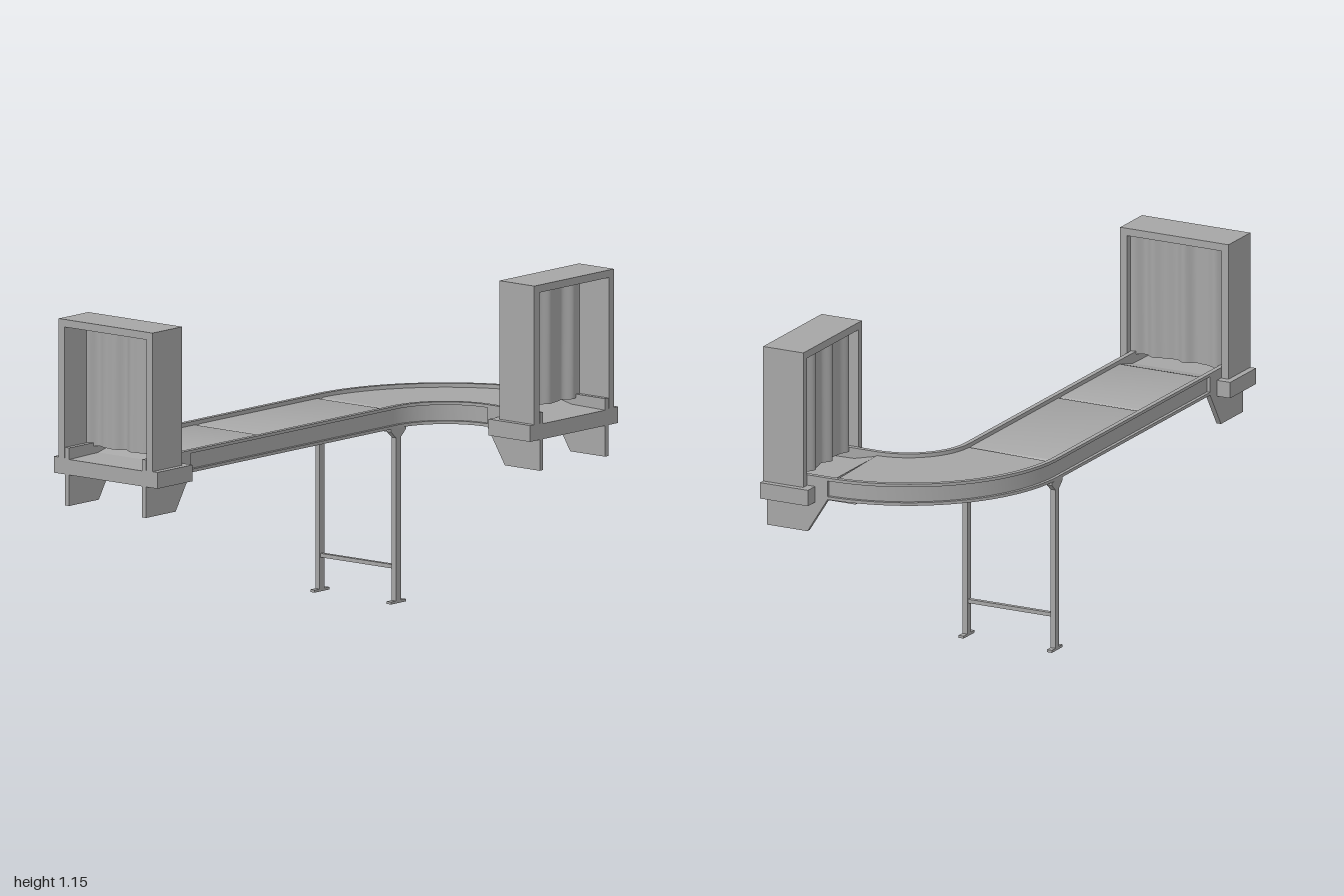
import * as THREE from 'three';
import { toCreasedNormals } from 'three/addons/utils/BufferGeometryUtils.js';

const metal = new THREE.MeshStandardMaterial({ color: 0xa6a6a6 });
metal.name = 'grey metal';
const curtainMat = metal.clone();
curtainMat.name = 'grey curtain';
curtainMat.side = THREE.DoubleSide;

const MID = -0.21;              // centre line of the straight run (z)
const BEND = { x: 0.35, z: 0.2, r: 0.41 };
const HALF = 0.185, RAIL = 0.018; // half width over the rails, rail depth
const BELT = { top: 0.687, r: 0.015 };

function add(parent, name, geometry, x = 0, y = 0, z = 0) {
  const mesh = new THREE.Mesh(geometry, metal);
  mesh.name = name;
  mesh.position.set(x, y, z);
  parent.add(mesh);
  return mesh;
}

// box given by its min and max corners
function box(parent, name, x0, x1, y0, y1, z0, z1) {
  return add(parent, name, new THREE.BoxGeometry(x1 - x0, y1 - y0, z1 - z0),
    (x0 + x1) / 2, (y0 + y1) / 2, (z0 + z1) / 2);
}

// extrusion of a point outline, centred on its thickness
function slab(points, depth) {
  const shape = new THREE.Shape(points.map(([x, y]) => new THREE.Vector2(x, y)));
  const g = new THREE.ExtrudeGeometry(shape, { depth, bevelEnabled: false });
  return g.translate(0, 0, -depth / 2);
}

// quarter-turn sweep of a closed counter-clockwise (radius, y) outline
function sweep(points, inset = 0) {
  const pts = [...points, points[0]].map(([r, y]) => new THREE.Vector2(r, y));
  const g = new THREE.LatheGeometry(pts, 40, Math.PI / 2 + inset, Math.PI / 2 - 2 * inset);
  return toCreasedNormals(g, 0.5);
}

// channel rail outline; the open side faces away from the belt (side = 1 or -1)
function channel(centre, side) {
  const inner = HALF - RAIL;
  const pts = [[inner, 0.622], [HALF, 0.622], [HALF, 0.633], [inner + 0.006, 0.633],
    [inner + 0.006, 0.69], [HALF, 0.69], [HALF, 0.701], [inner, 0.701]]
    .map(([u, y]) => [centre + side * u, y]);
  return side > 0 ? pts : pts.reverse();
}

// belt section with rounded ends between x0 and x1
function beltOutline(x0, x1) {
  const { top, r } = BELT, pts = [];
  for (const [cx, start] of [[x1 - r, -Math.PI / 2], [x0 + r, Math.PI / 2]])
    for (let i = 0; i <= 10; i++) {
      const a = start + Math.PI * i / 10;
      pts.push([cx + r * Math.cos(a), top - r + r * Math.sin(a)]);
    }
  return pts;
}

// hanging strip curtain with soft folds
function curtain(width, y0, y1) {
  const g = new THREE.PlaneGeometry(width, y1 - y0, 64, 1);
  const p = g.attributes.position;
  for (let i = 0; i < p.count; i++) {
    const u = p.getX(i) / width;
    p.setZ(i, 0.009 * Math.sin(u * 21) + 0.004 * Math.sin(u * 37 + 1));
  }
  g.computeVertexNormals();
  return g;
}

// end housing; local +z points outward along the conveyor
function endUnit(name) {
  const g = new THREE.Group();
  g.name = name;
  const alongZ = (pts, depth) => slab(pts, depth).rotateY(-Math.PI / 2);

  for (const s of [-1, 1]) {
    const range = (a, b) => s > 0 ? [a, b] : [-b, -a];
    add(g, 'sidePlate', alongZ([[0, 0.622], [0.08, 0.495], [0.24, 0.495], [0.24, 0.701], [0, 0.701]], RAIL),
      s * (HALF - RAIL / 2));
    box(g, 'sideTrim', ...range(HALF, 0.2375), 0.605, 0.663, 0.05, 0.24);
    box(g, 'housingWall', ...range(0.188, 0.215), 0.663, 1.155, 0.08, 0.24);
  }
  box(g, 'housingRoof', -0.188, 0.188, 1.128, 1.155, 0.08, 0.24);

  // sloping chute floor leading out of the housing
  add(g, 'chuteFloor', alongZ([[0, 0.645], [0.085, 0.61], [0.24, 0.605], [0.24, 0.66],
    [0.085, 0.663], [0, 0.683]], 2 * (HALF - RAIL)));
  add(g, 'curtain', curtain(0.376, 0.69, 1.128), 0, 0.909, 0.11).material = curtainMat;
  return g;
}

export function createModel() {
  const model = new THREE.Group();
  model.name = 'conveyor';

  // straight run: belts and rails
  const beltWidth = 2 * (HALF - RAIL);
  for (const [x0, x1] of [[-0.76, -0.31], [-0.31, 0.35]])
    add(model, 'straightBelt', toCreasedNormals(slab(beltOutline(x0, x1), beltWidth), 0.5), 0, 0, MID);
  for (const s of [-1, 1]) {
    const g = slab(channel(0, s), 1.11).rotateY(Math.PI / 2);
    // the outline's own x runs toward -z after the turn
    add(model, 'straightRail', g, -0.205, 0, MID);
  }

  // quarter bend: rails, belt and its rounded ends
  const bend = new THREE.Group();
  bend.name = 'bend';
  bend.position.set(BEND.x, 0, BEND.z);
  model.add(bend);
  for (const s of [-1, 1]) add(bend, 'bendRail', sweep(channel(BEND.r, s)));
  const w = beltWidth / 2, inset = BELT.r / BEND.r, low = BELT.top - 2 * BELT.r;
  add(bend, 'bendBelt', sweep([[BEND.r - w, low], [BEND.r + w, low],
    [BEND.r + w, BELT.top], [BEND.r - w, BELT.top]], inset));
  for (const a of [Math.PI / 2 + inset, Math.PI - inset]) {
    const roller = new THREE.CylinderGeometry(BELT.r, BELT.r, beltWidth, 20).rotateX(Math.PI / 2);
    add(bend, 'beltRoller', roller, BEND.r * Math.sin(a), BELT.top - BELT.r, BEND.r * Math.cos(a))
      .rotation.y = a;
  }

  // support stand
  const stand = new THREE.Group();
  stand.name = 'stand';
  stand.position.set(0.36, 0, MID);
  model.add(stand);
  for (const s of [-1, 1]) {
    const z = s * 0.175;
    box(stand, 'leg', -0.013, 0.013, 0.008, 0.61, z - 0.01, z + 0.01);
    box(stand, 'foot', -0.04, 0.04, 0, 0.009, z - 0.01, z + 0.01);
    add(stand, 'gusset', slab([[-0.04, 0.622], [-0.04, 0.612], [-0.013, 0.588], [0.013, 0.588],
      [0.04, 0.612], [0.04, 0.622]], 0.02), 0, 0, z);
  }
  box(stand, 'lowerBrace', -0.008, 0.008, 0.121, 0.135, -0.165, 0.165);
  box(stand, 'upperBrace', -0.013, 0.013, 0.605, 0.625, -0.165, 0.165);

  // housings at both ends
  const front = endUnit('frontHousing');
  front.position.set(BEND.x + BEND.r, 0, BEND.z);
  const side = endUnit('sideHousing');
  side.position.set(-0.76, 0, MID);
  side.rotation.y = -Math.PI / 2;
  model.add(front, side);

  return model;
}
